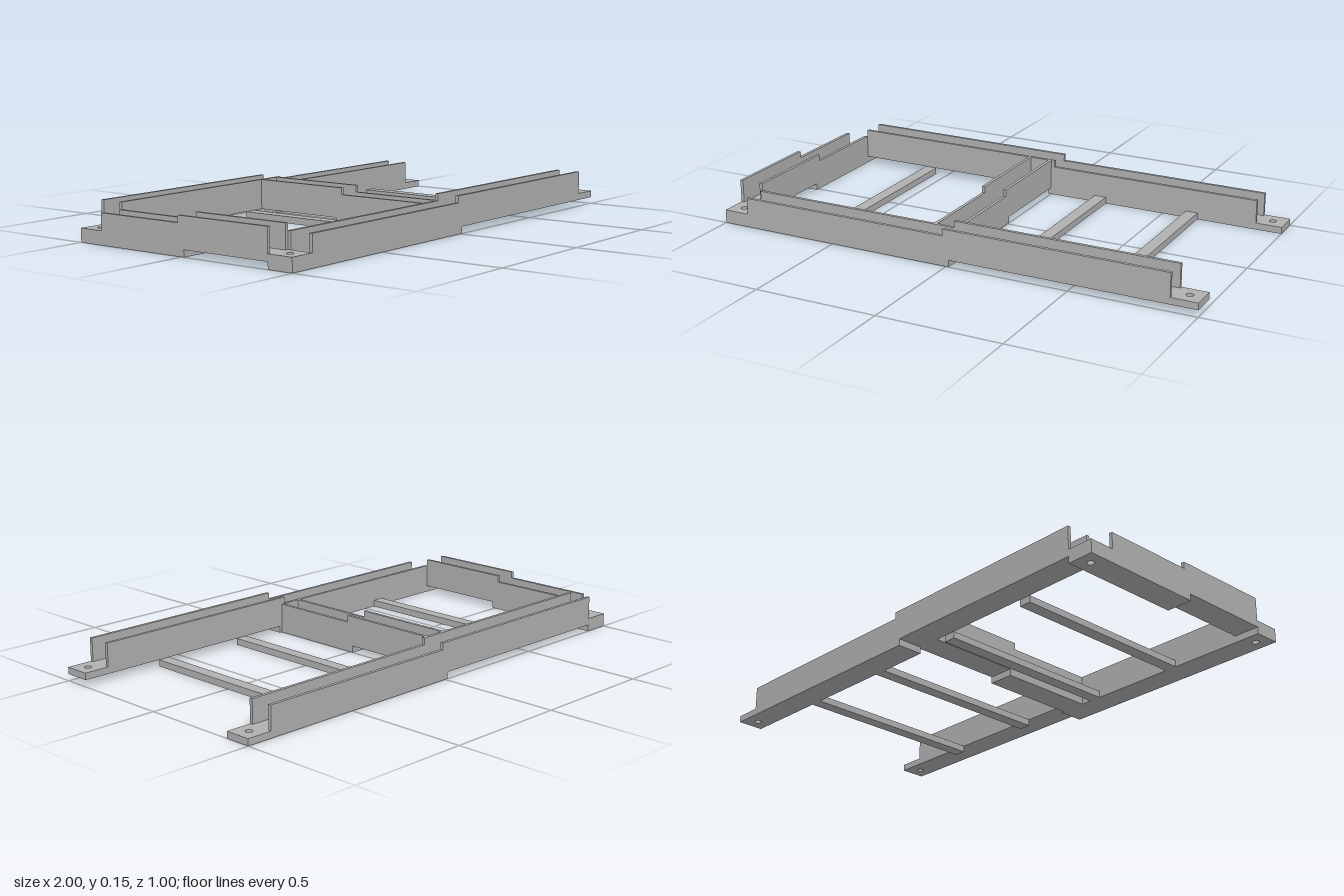
import * as THREE from 'three';

const T = 0.027;      // floor thickness and height of the half-way step
const WALL = 0.013;   // side wall thickness
const W = 0.106;      // channel width
const H = 0.12;       // channel height

const steel = new THREE.MeshStandardMaterial({ color: 0xb0b0b0 });
steel.name = 'steel grey';

function add(group, name, geometry, x = 0, y = 0, z = 0) {
  const mesh = new THREE.Mesh(geometry, steel);
  mesh.name = name;
  mesh.position.set(x, y, z);
  group.add(mesh);
  return mesh;
}

// Flat floor slab from x0 to x1, with an optional bolt hole
function floorSlab(group, x0, x1, y, holeX) {
  const s = new THREE.Shape();
  s.moveTo(x0, -W / 2);
  s.lineTo(x1, -W / 2);
  s.lineTo(x1, W / 2);
  s.lineTo(x0, W / 2);
  s.closePath();
  if (holeX !== undefined) {
    const hole = new THREE.Path();
    hole.absarc(holeX, 0, 0.014, 0, Math.PI * 2, true);
    s.holes.push(hole);
  }
  const g = new THREE.ExtrudeGeometry(s, { depth: T, bevelEnabled: false, curveSegments: 24 });
  g.rotateX(-Math.PI / 2);
  add(group, 'channelFloor', g, 0, y, 0);
}

// U channel along x: low half on the -x side, raised half on the +x side
function channel(name, half, tabs) {
  const group = new THREE.Group();
  group.name = name;
  const w = tabs ? half - W : half;
  const hole = tabs ? half - W / 2 : undefined;
  floorSlab(group, -half, 0.012, 0, tabs ? -hole : undefined);
  floorSlab(group, -0.015, half, T, hole);
  const s = new THREE.Shape([
    [-w, T], [0.012, T], [0.012, 2 * T], [w, 2 * T],
    [w, H + T], [-0.015, H + T], [-0.015, H], [-w, H],
  ].map(([x, y]) => new THREE.Vector2(x, y)));
  const g = new THREE.ExtrudeGeometry(s, { depth: WALL, bevelEnabled: false });
  for (const z of [-W / 2, W / 2 - WALL]) add(group, 'channelWall', g, 0, 0, z);
  return group;
}

export function createModel() {
  const model = new THREE.Group();
  model.name = 'frame';

  // Long side rails, each turned half way round from the other
  const zRail = 0.5 - W / 2;
  const front = channel('frontRail', 1, true);
  front.position.z = zRail;
  const back = channel('backRail', 1, true);
  back.position.z = -zRail;
  back.rotation.y = Math.PI;

  // End channel interlocks with the rail tabs
  const end = channel('endCrossChannel', 0.5, true);
  end.position.x = -1 + W / 2;
  end.rotation.y = -Math.PI / 2;

  // Middle channel fits between the rails
  const middle = channel('middleCrossChannel', 0.5 - W, false);
  middle.position.x = -W / 2;
  middle.rotation.y = Math.PI / 2;
  model.add(front, back, end, middle);

  // Flat crossbars
  const bar = new THREE.BoxGeometry(0.05, T, 1 - 2 * W);
  for (const x of [-0.575, -0.175, 0.225, 0.625]) add(model, 'crossbar', bar, x, T / 2, 0);

  return model;
}
